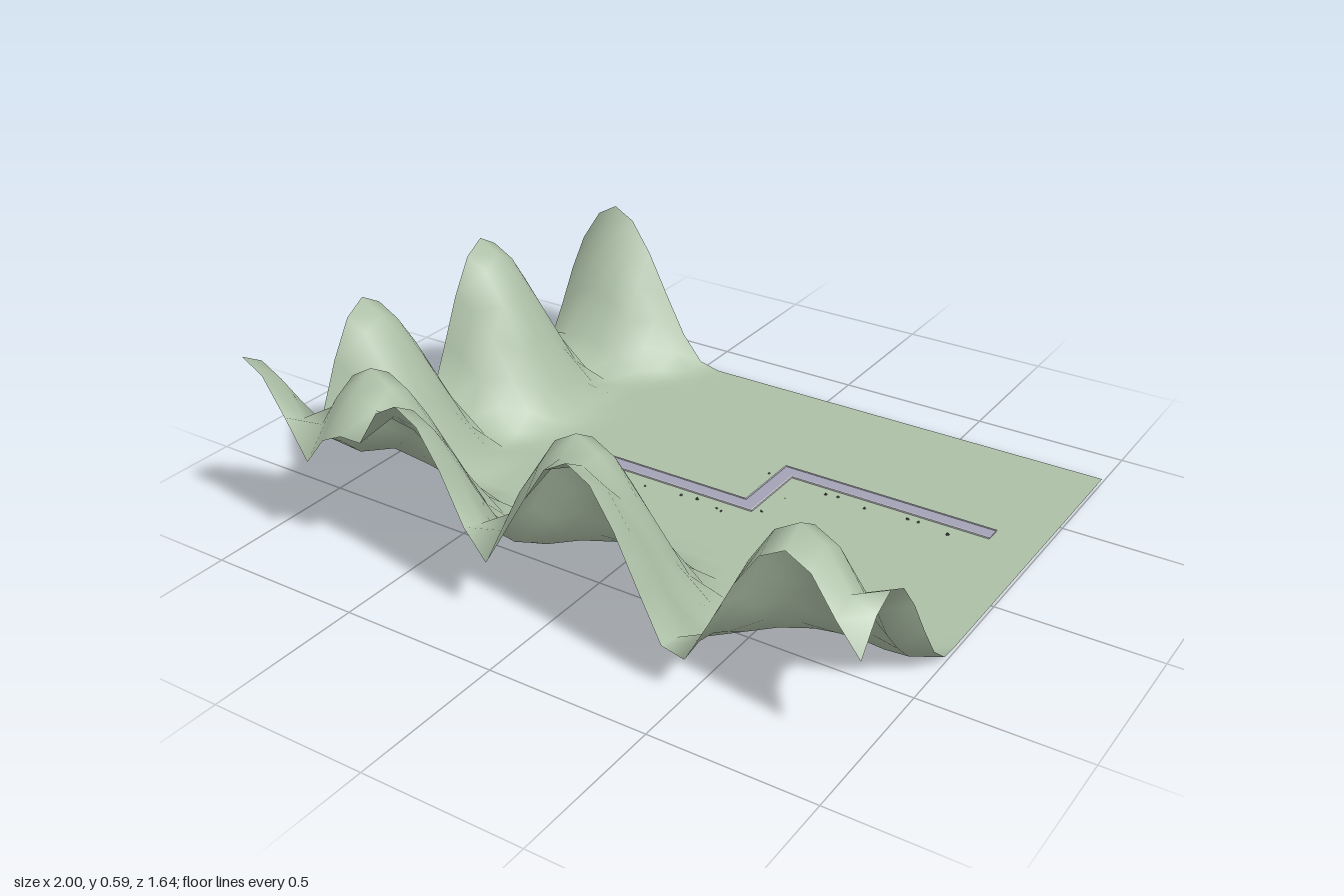
import * as THREE from 'three';

const CELL = 1 / 14;
const GROUND_Y = 0.016;
const PEAK = 0.572;
const RADIUS = 0.41;

// Centres [x, z] of the hills, along the right side and the front
const HILLS = [
  [-0.857, -0.893], [-1, -0.25], [-1, 0.321],
  [-1, 0.821], [-0.643, 0.679], [-0.429, 0.821], [0.071, 0.679],
  [0.143, 0.821], [0.786, 0.75], [1.143, 0.679],
];

// Small stones beside the path [x, z, size]
const STONES = [
  [-0.335, -0.02, 0.012], [-0.28, -0.024, 0.016], [-0.185, -0.006, 0.012],
  [-0.06, -0.02, 0.014], [-0.005, -0.026, 0.016], [0.075, -0.012, 0.012],
  [0.095, -0.005, 0.013], [0.2, -0.07, 0.014], [0.1, -0.285, 0.012],
  [0.315, -0.266, 0.015], [0.355, -0.272, 0.014], [0.455, -0.256, 0.014],
  [0.595, -0.27, 0.016], [0.63, -0.272, 0.014], [0.735, -0.255, 0.017],
  [0.22, -0.178, 0.008], [-0.31, -0.108, 0.008],
];

// Each hill is a cosine dome; where domes overlap the higher one wins
function heightAt(x, z) {
  let h = 0;
  for (const [cx, cz] of HILLS) {
    const d = Math.hypot(x - cx, z - cz);
    if (d < RADIUS) h = Math.max(h, 0.5 * PEAK * (1 + Math.cos(Math.PI * d / RADIUS)));
  }
  return GROUND_Y + h;
}

function makeTerrain() {
  const geo = new THREE.PlaneGeometry(28 * CELL, 23 * CELL, 28, 23).rotateX(-Math.PI / 2);
  const pos = geo.attributes.position;
  for (let i = 0; i < pos.count; i++) pos.setY(i, heightAt(pos.getX(i), pos.getZ(i)));
  geo.computeVertexNormals();
  return geo;
}

// Path centre line, shifted sideways by d
const centreLine = (d) => [
  [-0.55, -0.08 + d], [0.148 + d, -0.08 + d], [0.148 + d, -0.326 + d], [0.85, -0.326 + d],
];

// Stepped strip between two offsets of the centre line, from y0 up to y1
function makeStrip(d0, d1, y0, y1) {
  const outline = [...centreLine(d0), ...centreLine(d1).reverse()];
  const shape = new THREE.Shape(outline.map(([x, z]) => new THREE.Vector2(x, -z)));
  const geo = new THREE.ExtrudeGeometry(shape, { depth: y1 - y0, bevelEnabled: false });
  return geo.rotateX(-Math.PI / 2).translate(0, y0, 0);
}

export function createModel() {
  const model = new THREE.Group();
  const add = (name, geo, mat, parent = model) => {
    const mesh = new THREE.Mesh(geo, mat);
    mesh.name = name;
    parent.add(mesh);
    return mesh;
  };
  const grass = new THREE.MeshStandardMaterial({ color: 0xacbfa6, side: THREE.DoubleSide });
  const paving = new THREE.MeshStandardMaterial({ color: 0xa3a3b6 });
  const kerb = new THREE.MeshStandardMaterial({ color: 0xc4c4cc });
  const rock = new THREE.MeshStandardMaterial({ color: 0x4a4d4a, flatShading: true });

  add('terrain', makeTerrain(), grass);

  // Path with a thin kerb on both sides
  add('path', makeStrip(-0.022, 0.022, 0.013, 0.019), paving);
  add('kerbLeft', makeStrip(-0.027, -0.022, 0.013, 0.021), kerb);
  add('kerbRight', makeStrip(0.022, 0.027, 0.013, 0.021), kerb);

  // Stones half sunk in the ground
  const stones = new THREE.Group();
  stones.name = 'stones';
  model.add(stones);
  const stoneGeo = new THREE.IcosahedronGeometry(0.5, 0);
  stoneGeo.computeBoundingBox();
  const top = stoneGeo.boundingBox.max.y;
  STONES.forEach(([x, z, s], i) => {
    const stone = add('stone', stoneGeo, rock, stones);
    const height = 0.013 + s * 0.5;
    stone.scale.set(s, height / (2 * top), s * 0.8);
    stone.position.set(x, height / 2, z);
    stone.rotation.y = i * 1.3;
  });

  return model;
}
